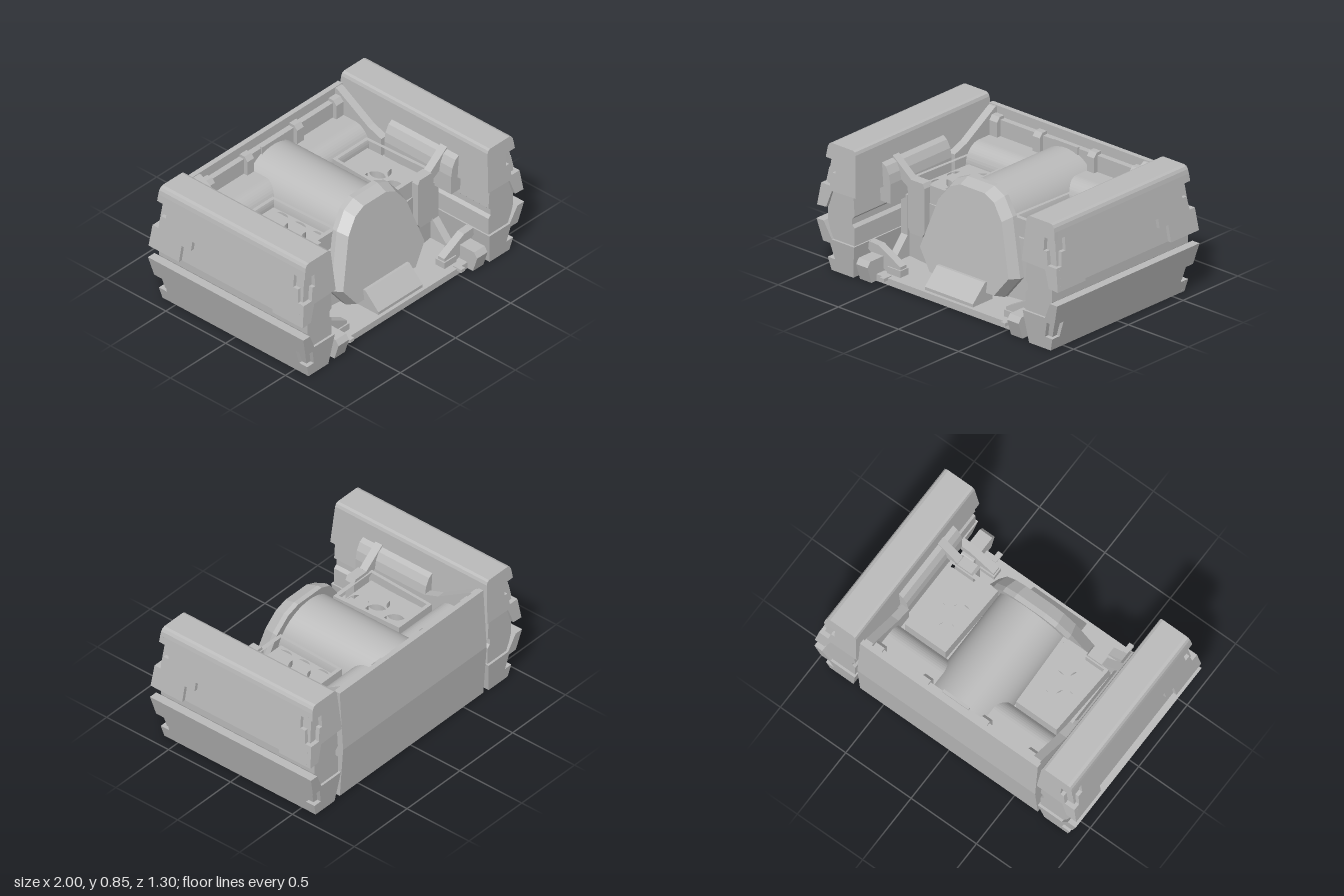
import * as THREE from 'three';

export function createModel() {
  const model = new THREE.Group();
  const grey = new THREE.MeshStandardMaterial({ color: 0xbababa });
  grey.name = 'plain grey';

  const add = (name, geo) => {
    const m = new THREE.Mesh(geo, grey);
    m.name = name;
    model.add(m);
  };
  // Add a part on the left (+x) and its mirror image on the right
  const addPair = (name, geo) => {
    add(name + 'Left', geo);
    const g = geo.index ? geo.toNonIndexed() : geo.clone();
    for (const key of ['position', 'normal']) {
      const a = g.attributes[key];
      for (let i = 0; i < a.count; i += 3) {
        const v = [0, 1, 2].map(k => [-a.getX(i + k), a.getY(i + k), a.getZ(i + k)]);
        [0, 2, 1].forEach((k, n) => a.setXYZ(i + n, ...v[k]));
      }
    }
    add(name + 'Right', g);
  };
  const box = (x0, x1, y0, y1, z0, z1) =>
    new THREE.BoxGeometry(x1 - x0, y1 - y0, z1 - z0)
      .translate((x0 + x1) / 2, (y0 + y1) / 2, (z0 + z1) / 2);
  const outline = pts => new THREE.Shape(pts.map(p => new THREE.Vector2(...p)));
  const extrude = (shape, depth) =>
    new THREE.ExtrudeGeometry(shape, { depth, bevelEnabled: false, curveSegments: 20 });
  // Outline in (x, y), extruded along z
  const alongZ = (pts, z0, z1) => extrude(outline(pts), z1 - z0).translate(0, 0, z0);
  // Outline in (z, y), extruded along x
  const alongX = (pts, x0, x1) =>
    extrude(outline(pts.map(([z, y]) => [-z, y])), x1 - x0).rotateY(Math.PI / 2).translate(x0, 0, 0);
  const warp = (geo, rule) => {
    const p = geo.attributes.position, v = new THREE.Vector3();
    for (let i = 0; i < p.count; i++) {
      rule(v.fromBufferAttribute(p, i));
      p.setXYZ(i, v.x, v.y, v.z);
    }
    geo.computeVertexNormals();
    return geo;
  };

  // Side pods: inner core between two armour shells
  addPair('podCore', alongZ([[0.72, 0.56], [0.71, 0.42], [0.73, 0.40], [0.73, 0.36], [0.71, 0.34],
    [0.71, 0.21], [0.89, 0.21], [0.93, 0.33], [0.93, 0.43], [0.89, 0.56]], -0.62, 0.62));

  // Armour shells: body, two end plates and an outer skin with notched corners
  const shell = (name, body, end, skin, taper, lean) => {
    const t = v => { v.z *= taper(v.y); };
    addPair(name + 'Body', warp(alongZ(body, -0.615, 0.615), t));
    for (const z of [-0.645, 0.615]) addPair(name + 'EndPlate', warp(alongZ(end, z, z + 0.03), t));
    addPair(name + 'Skin', warp(alongX(skin, 0.975, 1), v => { v.x -= lean(v.y); t(v); }));
  };
  const bothEnds = half => [...half, ...half.map(([z, y]) => [-z, y]).reverse()];

  const upperTop = [[0.944, 0.80], [0.938, 0.828], [0.927, 0.846], [0.908, 0.853], [0.735, 0.853],
    [0.718, 0.845], [0.71, 0.825], [0.69, 0.55], [0.885, 0.545], [0.925, 0.43]];
  shell('upperArmour',
    [[0.975, 0.425], [0.919, 0.80], ...upperTop],
    [[1, 0.425], [0.977, 0.575], [0.905, 0.575], [0.89, 0.665], [0.865, 0.665], [0.865, 0.75],
      [0.951, 0.75], ...upperTop],
    bothEnds([[0.31, 0.605], [0.31, 0.54], [0.39, 0.54], [0.39, 0.425], [0.615, 0.425], [0.615, 0.575],
      [0.595, 0.575], [0.59, 0.665], [0.55, 0.665], [0.55, 0.75], [0.615, 0.75], [0.615, 0.80]]),
    y => 1 - (y - 0.425) * 0.126, y => (y - 0.425) * 0.15);

  const lowerInside = [[0.94, 0.335], [0.885, 0.22], [0.70, 0.22], [0.73, 0]];
  shell('lowerArmour',
    [[0.885, 0], [0.975, 0.335], ...lowerInside],
    [[0.91, 0], [0.933, 0.085], [0.872, 0.085], [0.897, 0.19], [0.961, 0.19], [1, 0.335], ...lowerInside],
    bothEnds([[0.615, 0.335], [0.615, 0.19], [0.56, 0.19], [0.575, 0.085], [0.615, 0.085], [0.615, 0]]),
    y => 1.008 - (0.335 - y) * 0.184, y => (0.335 - y) * 0.27);

  // Open tub: floor, slightly bulged back wall and sloping side walls
  add('floor', box(-0.66, 0.66, 0.01, 0.055, -0.60, 0.565));
  add('backWall', alongX([[-0.61, 0.01], [-0.637, 0.38], [-0.61, 0.805], [-0.575, 0.805], [-0.575, 0.01]], -0.68, 0.68));
  add('backLedge', box(-0.62, 0.62, 0.05, 0.74, -0.60, -0.535));
  addPair('sideWall', alongX([[-0.60, 0.01], [-0.60, 0.80], [-0.56, 0.80], [-0.30, 0.64],
    [-0.19, 0.60], [-0.19, 0.47], [0.24, 0.47], [0.24, 0.20], [0.37, 0.05], [0.37, 0.01]], 0.615, 0.67));
  addPair('podMount', alongZ([[0.72, 0.72], [0.67, 0.69], [0.643, 0.64], [0.632, 0.58], [0.632, 0.45],
    [0.72, 0.45]], -0.18, 0.38));
  for (const [a, b] of [[0.195, 0.255], [0.55, 0.615]])
    addPair('ledgeClip', alongX([[-0.57, 0.63], [-0.57, 0.76], [-0.53, 0.76], [-0.505, 0.73], [-0.505, 0.62]], a, b));
  add('ledgeLatch', box(-0.10, 0.10, 0.69, 0.75, -0.545, -0.525));

  // Cross drum at the back: flat top rolling down towards the front
  const drumFront = Array.from({ length: 13 }, (_, i) => {
    const a = (i / 12) * Math.PI / 2;
    return [-0.41 + 0.12 * Math.sin(a), 0.50 + 0.13 * Math.cos(a)];
  });
  add('crossDrum', alongX([[-0.54, 0.05], [-0.54, 0.63], ...drumFront, [-0.29, 0.05]], -0.62, 0.62));

  // Central barrel with its flat-sided base
  add('barrel', new THREE.CylinderGeometry(0.25, 0.25, 0.84, 48).rotateX(Math.PI / 2).translate(0, 0.47, -0.12));
  add('barrelBase', box(-0.25, 0.25, 0.05, 0.47, -0.54, 0.28));

  // Leaning nose shield with a bevelled rim, lofted through three outlines
  const nose = [[0.29, 0.09], [0.40, 0.235], [0.285, 0.60], [0.20, 0.71], [0.11, 0.75]];
  const ring = [...nose, ...nose.map(([x, y]) => [-x, y]).reverse()];
  const layers = [[1, 0.25], [1, 0.285], [0.92, 0.36]].map(([s, z]) =>
    ring.map(([x, y]) => {
      const Y = 0.40 + (y - 0.40) * s;
      return [x * s, Y, z + (0.50 - Y) * 0.16];
    }));
  const verts = [], n = ring.length;
  for (let k = 0; k < 2; k++)
    for (let i = 0; i < n; i++) {
      const j = (i + 1) % n, [a, b, c, d] = [layers[k][i], layers[k][j], layers[k + 1][j], layers[k + 1][i]];
      verts.push(...a, ...b, ...c, ...a, ...c, ...d);
    }
  for (let i = 1; i < n - 1; i++) {
    verts.push(...layers[2][0], ...layers[2][i], ...layers[2][i + 1]);
    verts.push(...layers[0][0], ...layers[0][i + 1], ...layers[0][i]);
  }
  const shield = new THREE.BufferGeometry();
  shield.setAttribute('position', new THREE.Float32BufferAttribute(verts, 3));
  shield.computeVertexNormals();
  add('noseShield', shield);
  add('footWedge', alongX([[0.36, 0.05], [0.36, 0.185], [0.43, 0.185], [0.54, 0.075], [0.54, 0.05]], -0.20, 0.20));

  // Trays: a raised rim around a plate with five round wells
  const plan = (pts, holes, y0, y1) => {
    const s = outline(pts.map(([x, z]) => [x, -z]));
    s.holes.push(...holes);
    return extrude(s, y1 - y0).rotateX(-Math.PI / 2).translate(0, y0, 0);
  };
  const trayOuter = [[0.27, -0.28], [0.58, -0.28], [0.605, 0.24], [0.25, 0.24]];
  const trayInner = [[0.29, -0.255], [0.56, -0.255], [0.58, 0.21], [0.275, 0.21]];
  const wells = [[0.36, -0.16], [0.36, -0.01], [0.36, 0.135], [0.49, -0.08], [0.49, 0.07]].map(([x, z]) =>
    new THREE.Path().absarc(x, -z, 0.068, 0, Math.PI * 2, true));
  addPair('trayRim', plan(trayOuter, [new THREE.Path(trayInner.map(([x, z]) => new THREE.Vector2(x, -z)))], 0.46, 0.59));
  addPair('trayPlate', plan(trayInner, wells, 0.46, 0.53));
  addPair('trayBase', plan([[0.24, -0.30], [0.63, -0.30], [0.63, 0.22], [0.24, 0.27]], [], 0.05, 0.47));

  // Front pads with chamfered corners and their struts to the pods
  addPair('frontPad', alongZ([[0.45, 0.25], [0.55, 0.25], [0.565, 0.28], [0.57, 0.59], [0.55, 0.61],
    [0.445, 0.61], [0.43, 0.58], [0.43, 0.28]], 0.22, 0.29));
  addPair('upperStrut', alongZ([[0.71, 0.73], [0.55, 0.605], [0.55, 0.53], [0.63, 0.58], [0.71, 0.62]], 0.225, 0.28));
  addPair('lowerStrut', alongZ([[0.71, 0.22], [0.62, 0.215], [0.44, 0.12], [0.44, 0.05], [0.56, 0.06], [0.71, 0.17]], 0.445, 0.50));
  addPair('strutShoe', box(0.43, 0.54, 0.05, 0.10, 0.435, 0.51));

  // Front hinge blocks and small pegs
  addPair('hingeBlock', alongX([[0.37, 0.01], [0.37, 0.09], [0.43, 0.155], [0.62, 0.155], [0.645, 0.12],
    [0.61, 0.01]], 0.58, 0.675));
  addPair('frontPeg', box(0.485, 0.52, 0.04, 0.062, 0.53, 0.60));

  return model;
}
